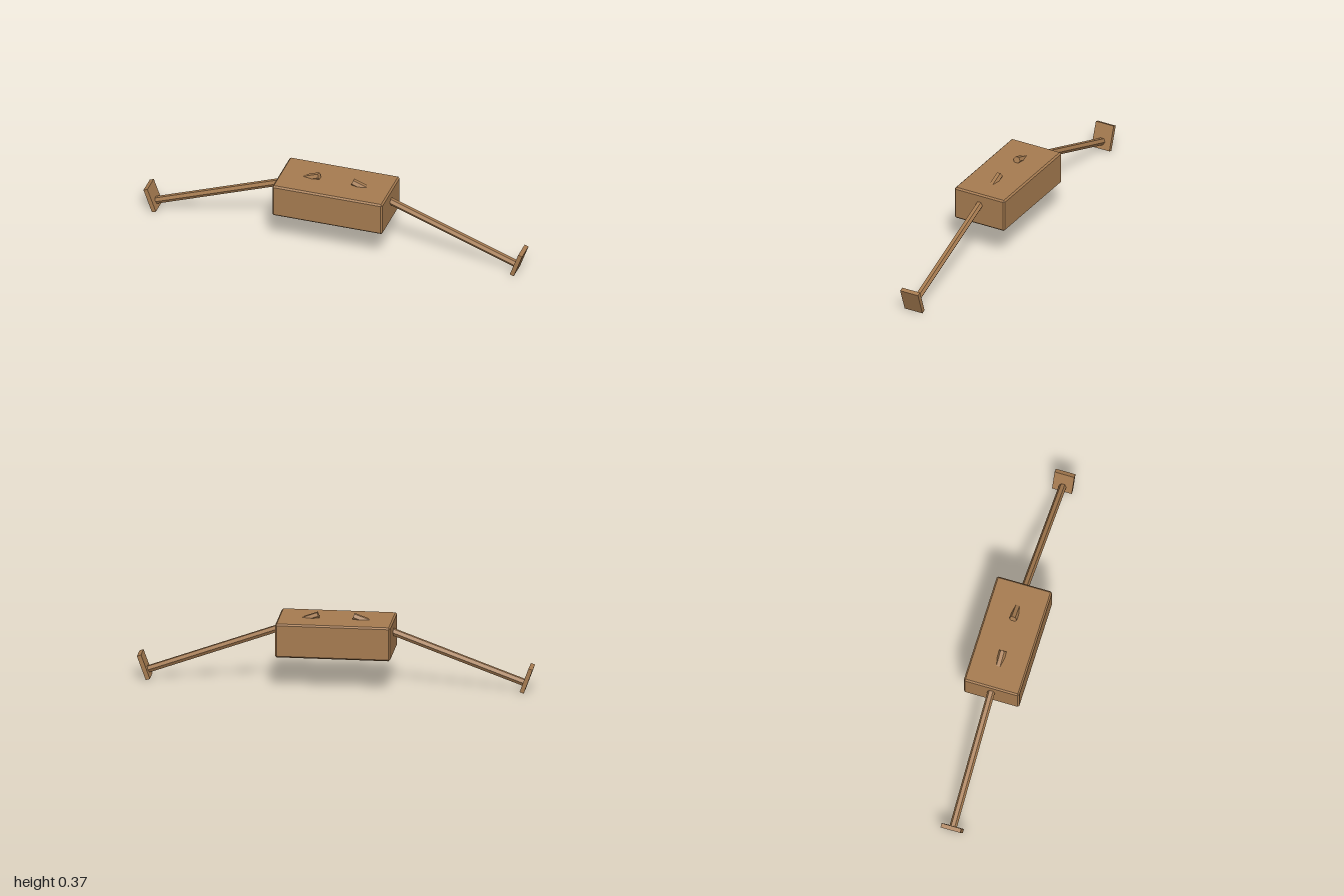
import * as THREE from 'three';
import { ConvexGeometry } from 'three/addons/geometries/ConvexGeometry.js';

const TILT = THREE.MathUtils.degToRad(20);

// Box with every edge and corner chamfered by c
function chamferedBox(w, h, d, c) {
  const points = [];
  for (const x of [-1, 1]) for (const y of [-1, 1]) for (const z of [-1, 1]) {
    for (let axis = 0; axis < 3; axis++) {
      const inset = [c, c, c];
      inset[axis] = 0;
      points.push(new THREE.Vector3(
        x * (w / 2 - inset[0]), y * (h / 2 - inset[1]), z * (d / 2 - inset[2])));
    }
  }
  return new ConvexGeometry(points);
}

export function createModel() {
  const model = new THREE.Group();
  model.name = 'model';
  const wood = new THREE.MeshStandardMaterial({ color: 0xa67b50 });
  wood.name = 'wood brown';

  function part(name, geometry, parent) {
    const mesh = new THREE.Mesh(geometry, wood);
    mesh.name = name;
    parent.add(mesh);
    return mesh;
  }

  // Central block
  part('body', chamferedBox(0.582, 0.175, 0.29, 0.008), model).position.y = 0.2575;

  // Two sloping arms whose inner ends poke out of the top of the body
  const start = new THREE.Vector2(0.088, 0.3575);
  const length = 0.928;
  const rodGeometry = new THREE.CylinderGeometry(0.019, 0.019, length, 6).toNonIndexed();
  rodGeometry.computeVertexNormals();
  const plateGeometry = new THREE.BoxGeometry(0.022, 0.1314, 0.103);

  for (const side of ['left', 'right']) {
    const arm = new THREE.Group();
    arm.name = side + 'Arm';
    if (side === 'right') arm.rotation.y = Math.PI;
    model.add(arm);

    // Hexagonal rod
    const rod = part(side + 'Rod', rodGeometry, arm);
    rod.rotation.z = Math.PI / 2 - TILT;
    rod.position.set(start.x + Math.cos(TILT) * length / 2, start.y - Math.sin(TILT) * length / 2, 0);

    // End plate, square to the rod
    const plate = part(side + 'Plate', plateGeometry, arm);
    plate.rotation.z = -TILT;
    plate.position.set(0.967, 0.0655, 0);
  }
  return model;
}
